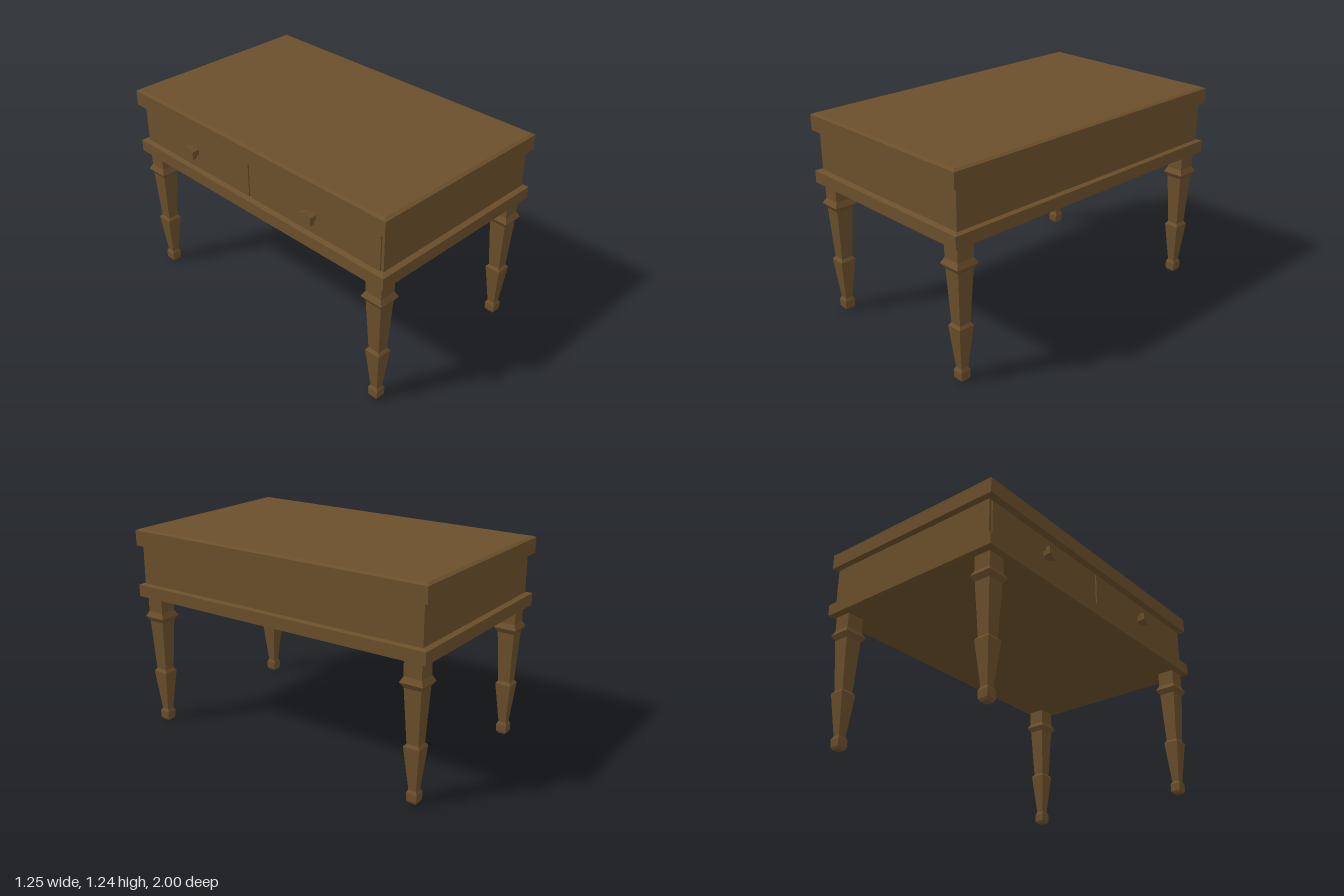
import * as THREE from 'three';

const wood = new THREE.MeshStandardMaterial({ color: 0x6b4f2b, flatShading: true });

// Stacked rectangular sections [y, halfX, halfZ], listed bottom to top, capped at both ends
function rectLoft(sections) {
  const pos = [], idx = [], n = sections.length;
  for (const [y, hx, hz] of sections) {
    pos.push(-hx, y, hz, hx, y, hz, hx, y, -hz, -hx, y, -hz);
  }
  for (let i = 0; i < n - 1; i++) {
    for (let j = 0; j < 4; j++) {
      const a = i * 4 + j, b = i * 4 + (j + 1) % 4;
      idx.push(a, b, b + 4, a, b + 4, a + 4);
    }
  }
  const t = (n - 1) * 4;
  idx.push(0, 2, 1, 0, 3, 2, t, t + 1, t + 2, t, t + 2, t + 3);
  const g = new THREE.BufferGeometry();
  g.setAttribute('position', new THREE.Float32BufferAttribute(pos, 3));
  g.setIndex(idx);
  const flat = g.toNonIndexed();
  flat.computeVertexNormals();
  return flat;
}

function add(parent, name, geometry, x = 0, y = 0, z = 0) {
  const mesh = new THREE.Mesh(geometry, wood);
  mesh.name = name;
  mesh.position.set(x, y, z);
  parent.add(mesh);
  return mesh;
}

// Slab whose top and bottom edges are cut back
function slab(y0, y1, insetLow, insetHigh) {
  const hx = 0.6125, hz = 1, c = 0.009;
  return rectLoft([
    [y0, hx - insetLow, hz - insetLow],
    [y0 + c, hx, hz],
    [y1 - c, hx, hz],
    [y1, hx - insetHigh, hz - insetHigh],
  ]);
}

// Hexagonal prism lying along x, with a corner pointing up
function hexAlongX(radius, length) {
  const g = new THREE.CylinderGeometry(radius, radius, length, 6, 1, false, Math.PI / 2);
  return g.rotateZ(Math.PI / 2);
}

export function createModel() {
  const table = new THREE.Group();
  table.name = 'table';

  // Top, case and lower moulding
  add(table, 'tableTop', slab(1.125, 1.235, 0.03, 0.02), 0.0125);
  add(table, 'lowerMoulding', slab(0.81, 0.9, 0.02, 0.03), 0.0125);
  add(table, 'case', new THREE.BoxGeometry(1.164, 0.25, 1.94), 0.018, 1.01, 0);

  // Two drawers with knobs on the -x side
  for (const [z, width] of [[-0.49, 0.925], [0.475, 0.955]]) {
    const drawer = new THREE.Group();
    drawer.name = 'drawer';
    drawer.position.set(0, 1.008, z);
    add(drawer, 'drawerFront', new THREE.BoxGeometry(0.02, 0.215, width), -0.562);
    add(drawer, 'knobStem', hexAlongX(0.032, 0.04), -0.582);
    add(drawer, 'knobHead', hexAlongX(0.047, 0.03), -0.612);
    table.add(drawer);
  }

  // Four tapered square legs: [y, half width]
  const profile = [
    [0, 0.022], [0.015, 0.03], [0.06, 0.031], [0.078, 0.022],
    [0.33, 0.046], [0.347, 0.034], [0.66, 0.049], [0.69, 0.067],
    [0.722, 0.051], [0.82, 0.051],
  ];
  const legGeometry = rectLoft(profile.map(([y, h]) => [y, h, h * 1.06]));
  for (const x of [-0.515, 0.541]) {
    for (const z of [-0.909, 0.909]) add(table, 'leg', legGeometry, x, 0, z);
  }

  return table;
}
